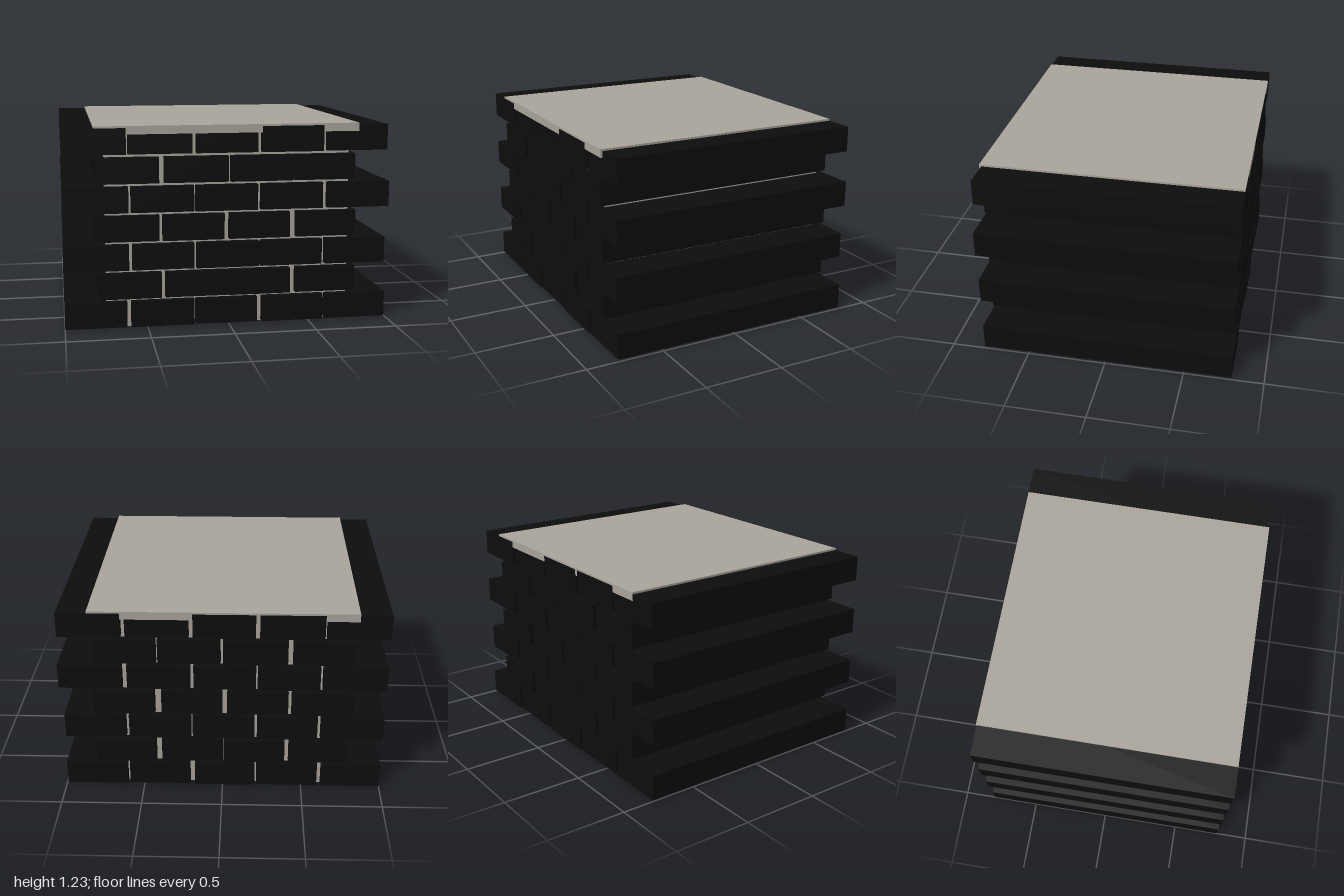
import * as THREE from 'three';

export function createModel() {
  const group = new THREE.Group();
  const mortar = new THREE.MeshStandardMaterial({ color: 0xaaa59c });
  const brick = new THREE.MeshStandardMaterial({ color: 0x0d0d0d });

  // Box given by its min and max on each axis
  function box(name, material, x0, x1, y0, y1, z0, z1) {
    const mesh = new THREE.Mesh(new THREE.BoxGeometry(x1 - x0, y1 - y0, z1 - z0), material);
    mesh.position.set((x0 + x1) / 2, (y0 + y1) / 2, (z0 + z1) / 2);
    mesh.name = name;
    group.add(mesh);
  }

  // Mortar core and the slab on top
  box('mortarCore', mortar, -0.75, 0.75, 0, 1.2, -0.75, 0.75);
  box('topSlab', mortar, -0.81, 0.8, 1.18, 1.23, -0.797, 0.797);

  // Courses from the bottom up: each brick is [left edge, right edge, z shift]
  const courses = [
    [[-1, -0.625, 0], [-0.6, -0.215, 0.004], [-0.205, 0.175, -0.004], [0.205, 0.59, 0.004], [0.605, 0.99, -0.003]],
    [[-0.79, -0.415, 0.002], [-0.39, -0.01, -0.004], [-0.005, 0.38, 0.002], [0.415, 0.79, -0.005]],
    [[-1, -0.61, 0], [-0.59, -0.215, -0.003], [-0.2, 0.185, 0.003], [0.195, 0.58, -0.002], [0.6, 0.98, 0.001]],
    [[-0.805, -0.425, -0.004], [-0.405, -0.03, 0.002], [0, 0.375, 0], [0.415, 0.79, -0.004]],
    [[-1, -0.61, 0.002], [-0.595, -0.215, -0.003], [-0.205, 0.175, 0.002], [0.195, 0.58, 0], [0.61, 1, 0]],
    [[-0.8, -0.425, 0], [-0.395, -0.005, -0.004], [0.01, 0.39, 0.004], [0.4, 0.78, 0]],
    [[-1, -0.62, 0.002], [-0.61, -0.225, -0.006], [-0.2, 0.175, -0.002], [0.2, 0.58, 0.006], [0.605, 0.985, -0.012]],
  ];
  const pitch = 0.1755, height = 0.157;
  courses.forEach((course, row) => {
    const y = 0.008 + row * pitch;
    course.forEach(([x0, x1, shift], i) => {
      // Bricks run the full depth; a shifted one is trimmed at the far end
      const front = Math.min(0.8, 0.796 + shift);
      const back = Math.max(-0.8, -0.796 + shift);
      box(`brick_${row + 1}_${i + 1}`, brick, x0, x1, y, y + height, back, front);
    });
  });
  return group;
}
